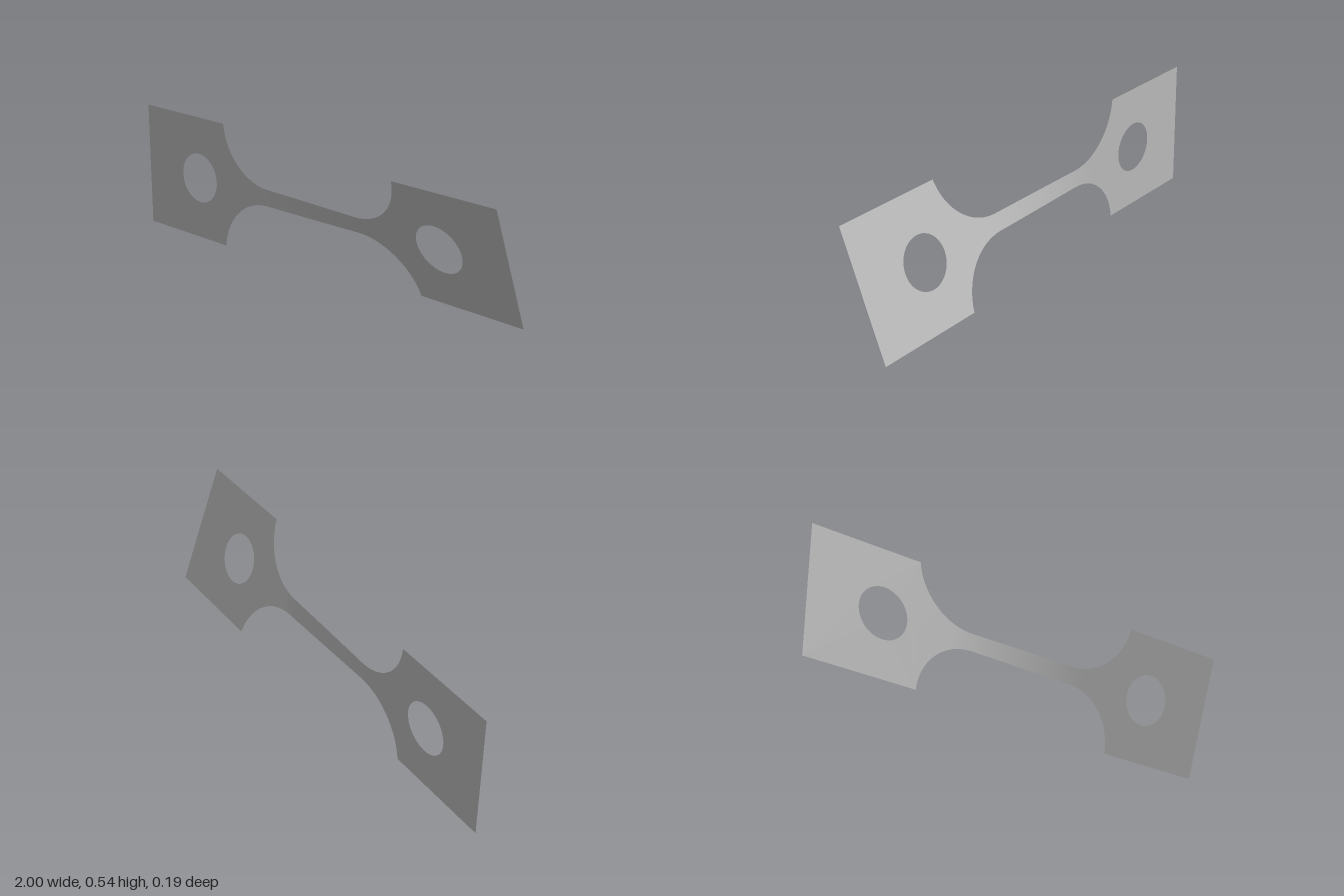
import * as THREE from 'three';

const HALF = 0.271;        // half width of the grips
const NECK = 0.037;        // half width of the neck
const FILLET_X = 0.25;     // where the fillets start
const GRIP_X = 0.51;       // where the grips start
const RADIUS = 0.262;      // fillet radius
const TWIST_A = THREE.MathUtils.degToRad(0.6);
const TWIST_B = THREE.MathUtils.degToRad(20.9);

// Twist about the long axis: constant in the grips, growing along the neck
function twistAt(x) {
  const t = THREE.MathUtils.clamp((x + 0.35) / 0.65, 0, 1);
  return THREE.MathUtils.lerp(TWIST_A, TWIST_B, t);
}

// Half width of the waisted section
function halfWidth(x) {
  const d = Math.max(0, Math.abs(x) - FILLET_X);
  if (d >= GRIP_X - FILLET_X - 1e-6) return HALF;
  return NECK + RADIUS - Math.sqrt(RADIUS * RADIUS - d * d);
}

// Flat square end plate with a round hole
function grip(side, material) {
  const a = Math.min(side, side * GRIP_X);
  const b = Math.max(side, side * GRIP_X);
  const shape = new THREE.Shape();
  shape.moveTo(a, -HALF);
  shape.lineTo(b, -HALF);
  shape.lineTo(b, HALF);
  shape.lineTo(a, HALF);
  shape.closePath();
  const hole = new THREE.Path();
  hole.absarc(side * 0.67, 0, 0.109, 0, Math.PI * 2, true);
  shape.holes.push(hole);
  const geometry = new THREE.ShapeGeometry(shape, 32);
  geometry.rotateX(twistAt(side));
  return new THREE.Mesh(geometry, material);
}

// Thin neck with its four fillets, twisted column by column
function neck(material) {
  const geometry = new THREE.PlaneGeometry(2, 2, 120, 8);
  const pos = geometry.attributes.position;
  for (let i = 0; i < pos.count; i++) {
    // columns crowd towards the steep ends of the fillets
    const x = GRIP_X * Math.sin(pos.getX(i) * Math.PI / 2);
    const y = pos.getY(i) * halfWidth(x);
    const angle = twistAt(x);
    pos.setXYZ(i, x, y * Math.cos(angle), y * Math.sin(angle));
  }
  geometry.computeVertexNormals();
  return new THREE.Mesh(geometry, material);
}

export function createModel() {
  const group = new THREE.Group();
  group.name = 'twistedTestStrip';
  const metal = new THREE.MeshStandardMaterial({ color: 0xb8b8b8, side: THREE.DoubleSide });
  metal.name = 'greyMetal';

  const rightGrip = grip(-1, metal);
  rightGrip.name = 'rightGrip';
  const leftGrip = grip(1, metal);
  leftGrip.name = 'leftGrip';
  const middle = neck(metal);
  middle.name = 'twistedNeck';

  group.add(rightGrip, leftGrip, middle);
  for (const part of group.children) part.position.y = HALF;
  return group;
}
